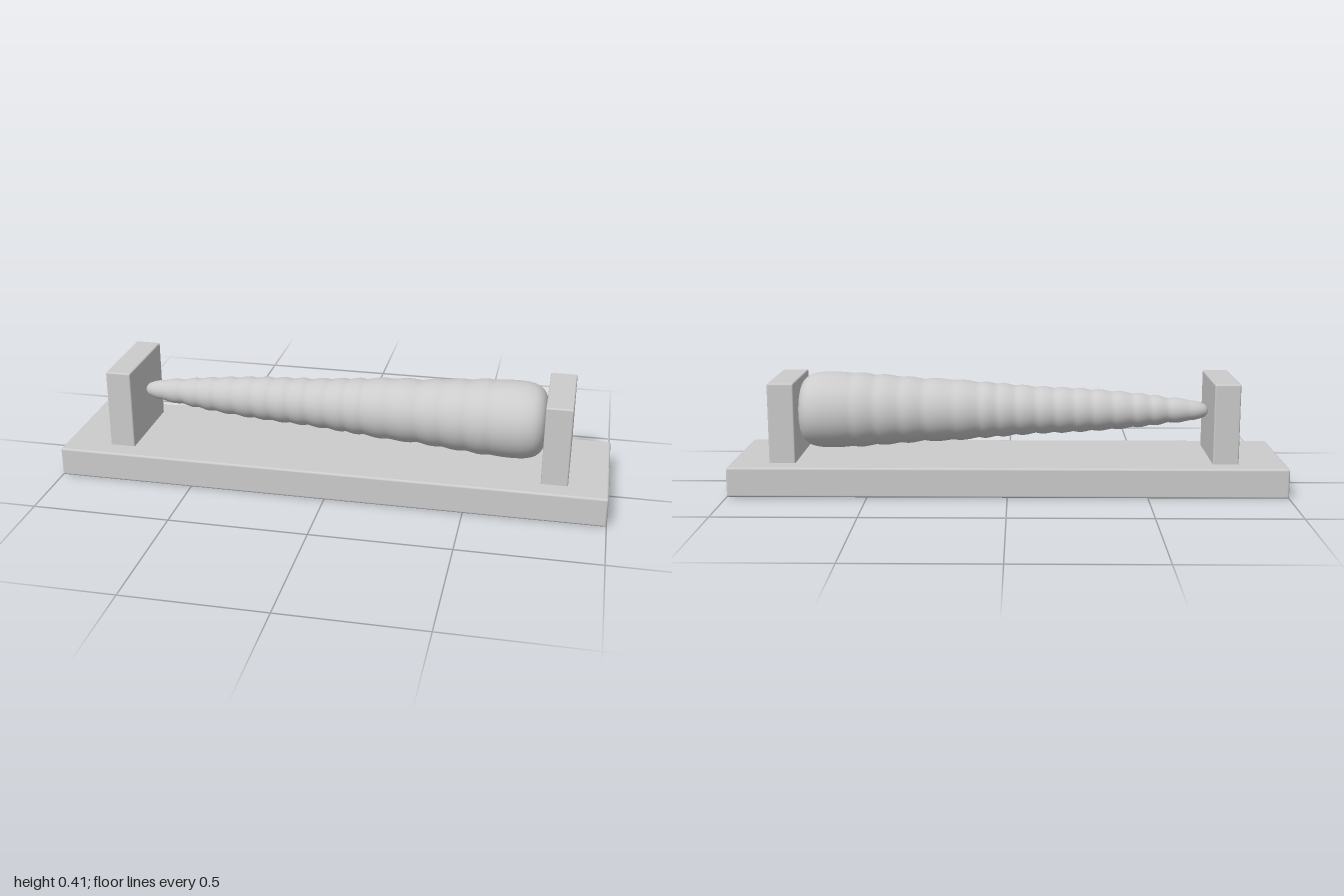
import * as THREE from 'three';
import { RoundedBoxGeometry } from 'three/addons/geometries/RoundedBoxGeometry.js';

const material = new THREE.MeshStandardMaterial({ color: 0xcccccc });

function addBlock(group, name, size, position, radius) {
  const mesh = new THREE.Mesh(new RoundedBoxGeometry(...size, 3, radius), material);
  mesh.position.set(...position);
  mesh.name = name;
  group.add(mesh);
}

// Profile of the ribbed cone: [position along the axis, groove radius]
function coneProfile() {
  const grooves = [
    [-0.67, 0.037], [-0.59, 0.044], [-0.525, 0.054], [-0.46, 0.061], [-0.385, 0.068],
    [-0.31, 0.074], [-0.243, 0.078], [-0.173, 0.081], [-0.104, 0.084], [-0.03, 0.09],
    [0.04, 0.096], [0.105, 0.101], [0.2, 0.11], [0.307, 0.113], [0.393, 0.121],
    [0.484, 0.128], [0.57, 0.135],
  ];
  // Blunt small tip
  const points = [[0, -0.737], [0.012, -0.735], [0.023, -0.725], [0.031, -0.705], [0.036, -0.685]]
    .map(([r, a]) => new THREE.Vector2(r, a));
  // Bulging ribs between the grooves
  const steps = 8;
  for (let i = 0; i < grooves.length - 1; i++) {
    const [a0, r0] = grooves[i];
    const [a1, r1] = grooves[i + 1];
    for (let s = 0; s < steps; s++) {
      const t = s / steps;
      const bulge = 0.005 * Math.sin(Math.PI * Math.pow(t, 1.3));
      points.push(new THREE.Vector2(r0 + (r1 - r0) * t + bulge, a0 + (a1 - a0) * t));
    }
  }
  // Rounded wide end
  const end = new THREE.CatmullRomCurve3([
    [0.135, 0.57], [0.139, 0.61], [0.14, 0.66], [0.137, 0.7], [0.126, 0.733],
    [0.105, 0.754], [0.075, 0.764], [0, 0.766],
  ].map(([r, a]) => new THREE.Vector3(r, a, 0)));
  for (const p of end.getPoints(28)) points.push(new THREE.Vector2(Math.max(p.x, 0), p.y));
  return points;
}

export function createModel() {
  const group = new THREE.Group();
  group.name = 'mountedCone';

  // Base slab and the two end posts
  addBlock(group, 'base', [2, 0.108, 0.482], [0, 0.054, 0], 0.008);
  addBlock(group, 'smallEndPost', [0.093, 0.307, 0.334], [-0.783, 0.2445, 0], 0.006);
  addBlock(group, 'wideEndPost', [0.095, 0.307, 0.334], [0.811, 0.2445, 0], 0.006);

  // Ribbed cone lying along x between the posts
  const cone = new THREE.Mesh(new THREE.LatheGeometry(coneProfile(), 64), material);
  cone.rotation.z = -Math.PI / 2;
  cone.position.y = 0.274;
  cone.name = 'ribbedCone';
  group.add(cone);

  return group;
}
